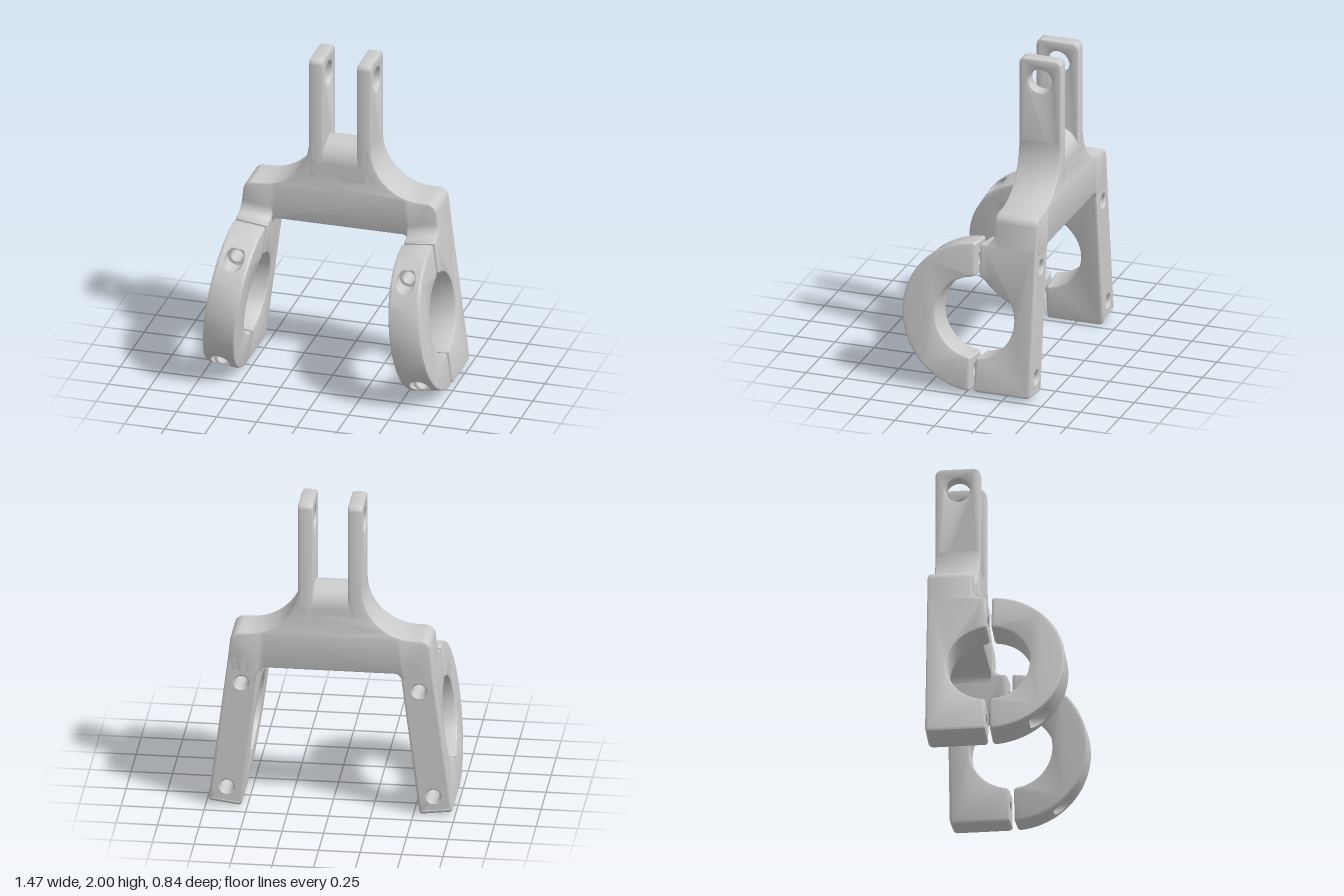
import * as THREE from 'three';
import { mergeGeometries, toCreasedNormals } from 'three/addons/utils/BufferGeometryUtils.js';

const PI = Math.PI, BEVEL = 0.015;
const R = 0.462, BORE = 0.25;            // clamp ring radii
const HALF = 0.1, WALL = HALF - BEVEL;   // leg half width, and its unbevelled part
const SCREW = 0.345;                     // screw distance from the ring centre
const N = 40;                            // sides of a screw hole
const material = new THREE.MeshStandardMaterial({ color: 0xcccccc });

// points on an arc
function arc(cx, cy, r, a0, a1, n) {
  return Array.from({ length: n + 1 }, (_, i) => {
    const a = a0 + (a1 - a0) * i / n;
    return [cx + r * Math.cos(a), cy + r * Math.sin(a)];
  });
}

// bevelled extrusion centred on z, keeping the outline's own size
function slab(points, width, bevel = BEVEL, holes = []) {
  const vec = list => list.map(p => new THREE.Vector2(p[0], p[1]));
  const shape = new THREE.Shape(vec(points));
  shape.holes = holes.map(h => new THREE.Path(vec(h)));
  const geo = new THREE.ExtrudeGeometry(shape, {
    depth: width - 2 * bevel, bevelEnabled: bevel > 0, bevelThickness: bevel,
    bevelSize: bevel, bevelOffset: -bevel, bevelSegments: 2,
  });
  return geo.translate(0, 0, bevel - width / 2);
}

// the same for outlines given as (z, y), extruded across x
const sideSlab = (...args) => slab(...args).rotateY(-PI / 2);

// surface through a chain of closed loops
function loft(loops) {
  const pos = [];
  for (let k = 0; k + 1 < loops.length; k++) {
    const a = loops[k], b = loops[k + 1];
    for (let i = 0; i < N; i++) {
      const j = (i + 1) % N;
      pos.push(...a[i], ...a[j], ...b[i], ...a[j], ...b[j], ...b[i]);
    }
  }
  return new THREE.BufferGeometry().setAttribute('position', new THREE.Float32BufferAttribute(pos, 3));
}

// drop the triangles whose centre passes the test
function cut(geo, test) {
  const p = geo.attributes.position.array, keep = [];
  for (let i = 0; i < p.length; i += 9) {
    const c = [0, 1, 2].map(k => (p[i + k] + p[i + k + 3] + p[i + k + 6]) / 3);
    if (!test(...c)) keep.push(...p.subarray(i, i + 9));
  }
  return new THREE.BufferGeometry().setAttribute('position', new THREE.Float32BufferAttribute(keep, 3));
}

function mesh(name, geos) {
  const plain = geos.map(g => cut(g, () => false));
  const m = new THREE.Mesh(toCreasedNormals(mergeGeometries(plain), 0.5), material);
  m.name = name;
  return m;
}

// loops in x, y for screw holes; s = 1 for the upper screw, -1 for the lower
const loop = f => Array.from({ length: N }, (_, i) => f(Math.cos(2 * PI * i / N), Math.sin(2 * PI * i / N)));
const circle = (s, r, z) => loop((c, n) => [s * r * c, s * (SCREW + r * n), z]);
const rect = (s, lo, hi, z) => loop((c, n) => {
  const k = 1 / Math.max(Math.abs(c), Math.abs(n));
  return [s * WALL * c * k, s * ((lo + hi) / 2 + (hi - lo) / 2 * n * k), z];
});

// removable front half of the ring, with counterbored screw holes
function clampCap() {
  const gap = 0.015, c = gap + 0.012, tm = Math.acos(c / R), ti = Math.acos(c / BORE);
  const body = sideSlab([
    ...arc(0, 0, R, -tm, tm, 60), [gap, 0.45], [gap, 0.262],
    ...arc(0, 0, BORE, ti, -ti, 48), [gap, -0.262], [gap, -0.45],
  ], 2 * HALF);
  const t0 = tm / 3, t1 = tm * 0.8, floor = 0.245, vMax = Math.sqrt(R * R - floor * floor);
  const parts = [cut(body, (x, y, z) => {
    if (Math.abs(x) > 0.08) return false;
    const t = Math.abs(Math.atan2(y, z));
    return Math.abs(z - gap) < 1e-3 || (Math.hypot(y, z) > R - 0.01 && t > t0 && t < t1);
  })];
  for (const s of [1, -1]) {
    const bore = (c2, n) => [0.06 * c2, Math.min(SCREW + 0.06 * n, vMax)];
    // curved patch around the counterbore, f = 0 at its border, 1 at the hole
    const patch = f => loop((c2, n) => {
      const k = 1 / Math.max(Math.abs(c2), Math.abs(n)), [bx, bv] = bore(c2, n);
      const x = (1 - f) * WALL * c2 * k + f * bx;
      const t = (1 - f) * ((t0 + t1) / 2 + (t1 - t0) / 2 * n * k) + f * Math.asin(bv / R);
      return [s * x, s * R * Math.sin(t), R * Math.cos(t)];
    });
    const seat = loop((c2, n) => { const [x, v] = bore(c2, n); return [s * x, s * v, floor]; });
    parts.push(loft([patch(0), patch(0.33), patch(0.67), patch(1), seat,
      circle(s, 0.04, floor), circle(s, 0.04, gap), rect(s, 0.262, 0.45, gap)]));
  }
  return mesh('clampCap', parts);
}

// leg with the rear half of the ring and a fillet up to the yoke
function leg() {
  const gap = -0.015, back = -0.375, ti = Math.acos(-0.027 / BORE);
  const body = sideSlab([
    [gap, -0.45], [gap, -0.262], ...arc(0, 0, BORE, 2 * PI - ti, ti, 48),
    [gap, 0.262], [gap, 0.45], [-0.027, R],
    ...arc(-0.035, R + 0.07, 0.07, 1.5 * PI, PI, 8),
    [-0.14, 0.56], [-0.36, 0.56], [back, 0.5],
    ...arc(-0.345, -R + 0.03, 0.03, PI, 1.5 * PI, 6), [-0.027, -R],
  ], 2 * HALF);
  const parts = [cut(body, (x, y, z) => Math.abs(x) < 0.08 &&
    (Math.abs(z - gap) < 1e-3 || Math.abs(z - back) < 1e-3))];
  for (const s of [1, -1]) {
    parts.push(loft([rect(s, 0.262, 0.45, gap), circle(s, 0.04, gap), circle(s, 0.04, back + 0.01),
      circle(s, 0.05, back), rect(s, 0, s > 0 ? 0.5 : R - 0.03, back)]));
  }
  return mesh('leg', parts);
}

export function createModel() {
  const model = new THREE.Group();
  const DEPTH = 0.27, Z = -0.285;

  // yoke plate: right half of the outline, mirrored
  const half = [
    ...arc(0.386, 0.875, 0.04, PI / 2, 0.1, 6),
    [0.43, 0.868], [0.626, 0.893],
    ...arc(0.545, 1.08, 0.06, 0.12, PI / 2, 8),
    ...arc(0.505, 1.45, 0.31, 1.5 * PI, PI, 24),
    [0.195, 1.47], [0.15, 1.47], [0.15, 1.3],
  ];
  const mirrored = half.map(([x, y]) => [-x, y]).reverse();
  const yoke = mesh('yoke', [slab([...half, ...mirrored], DEPTH)]);
  yoke.position.z = Z;
  model.add(yoke);

  // rounded saddle between the arms
  const saddle = mesh('saddle', [sideSlab(
    [[-DEPTH / 2, 1.22], [DEPTH / 2, 1.22], ...arc(0, 1.32, DEPTH / 2, 0, PI, 32)], 0.3, 0)]);
  saddle.position.z = Z;
  model.add(saddle);

  for (const s of [1, -1]) {
    // upright arm with a pivot hole
    const arm = mesh('arm', [sideSlab(
      [[-DEPTH / 2, 1.22], [DEPTH / 2, 1.22],
        ...arc(0.095, 1.96, 0.04, 0, PI / 2, 8), ...arc(-0.095, 1.96, 0.04, PI / 2, PI, 8)],
      0.09, BEVEL, [arc(0, 1.86, 0.073, 0, 2 * PI, 40).slice(0, -1)])]);
    arm.position.set(s * 0.15, 0, Z);
    model.add(arm);

    // splayed leg and its clamp
    const side = new THREE.Group();
    side.name = s > 0 ? 'leftLeg' : 'rightLeg';
    side.add(leg(), clampCap());
    side.position.set(s * 0.579, 0.471, -0.045);
    side.rotation.z = s * 0.125;
    model.add(side);
  }
  return model;
}
